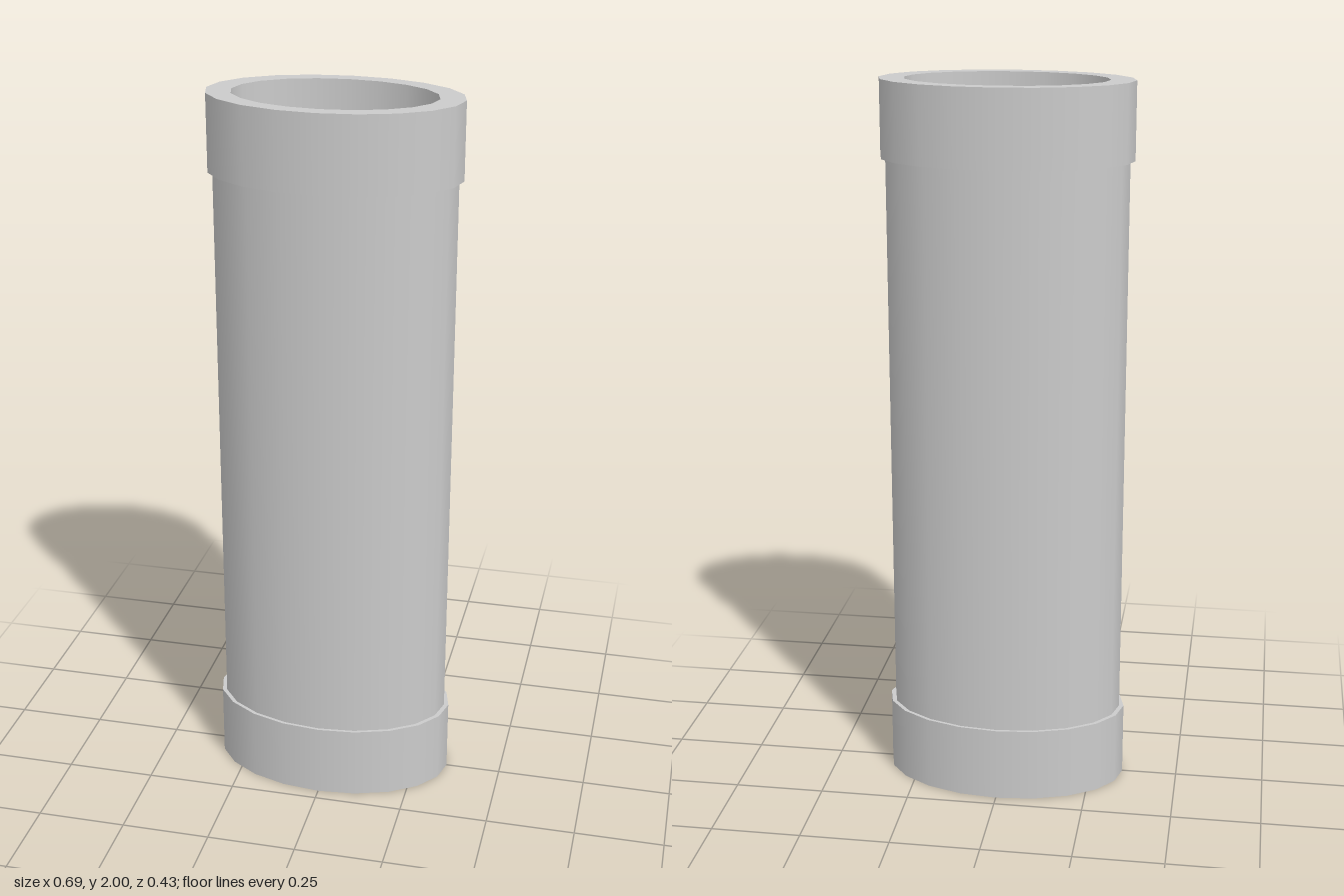
import * as THREE from 'three';
import { mergeGeometries } from 'three/addons/utils/BufferGeometryUtils.js';

const SIDES = 20;
const FLATTEN = 0.627; // depth / width of the oval section
const COLLAR_R = 0.343, BODY_R = 0.33, BORE_R = 0.275;
const HEIGHT = 2, COLLAR_H = 0.21;
const FLOOR_Y = 0.06, FLOOR_TOP = 0.12;

// Oval lathe: each profile segment is turned separately so its edges stay sharp.
// Profiles run up the outside, in across the top and down the inside.
function ovalPart(name, profile) {
  const bands = [];
  for (let i = 0; i < profile.length - 1; i++) {
    const ends = [profile[i], profile[i + 1]].map(([r, y]) => new THREE.Vector2(r, y));
    bands.push(new THREE.LatheGeometry(ends, SIDES));
  }
  const geometry = mergeGeometries(bands);
  geometry.scale(1, 1, FLATTEN);
  const mesh = new THREE.Mesh(geometry, new THREE.MeshStandardMaterial({ color: 0xcccccc }));
  mesh.name = name;
  return mesh;
}

// Closed ring between two heights
function ring(name, outer, y0, y1) {
  return ovalPart(name, [[outer, y0], [outer, y1], [BORE_R, y1], [BORE_R, y0], [outer, y0]]);
}

export function createModel() {
  const group = new THREE.Group();
  group.name = 'ovalTube';

  // Hollow tube wall between the collars
  const y0 = COLLAR_H, y1 = HEIGHT - COLLAR_H;
  group.add(ovalPart('tubeWall', [[BODY_R, y0], [BODY_R, y1]]));
  group.add(ovalPart('tubeBore', [[BORE_R, y1], [BORE_R, y0]]));

  // Slightly wider collars at both ends
  group.add(ring('bottomCollar', COLLAR_R, 0, COLLAR_H));
  group.add(ring('topCollar', COLLAR_R, HEIGHT - COLLAR_H, HEIGHT));

  // Recessed floor closing the bore near the bottom
  group.add(ovalPart('floor', [[0, FLOOR_Y], [BORE_R, FLOOR_Y]]));
  group.add(ovalPart('floorTop', [[BORE_R, FLOOR_TOP], [0, FLOOR_TOP]]));

  return group;
}
